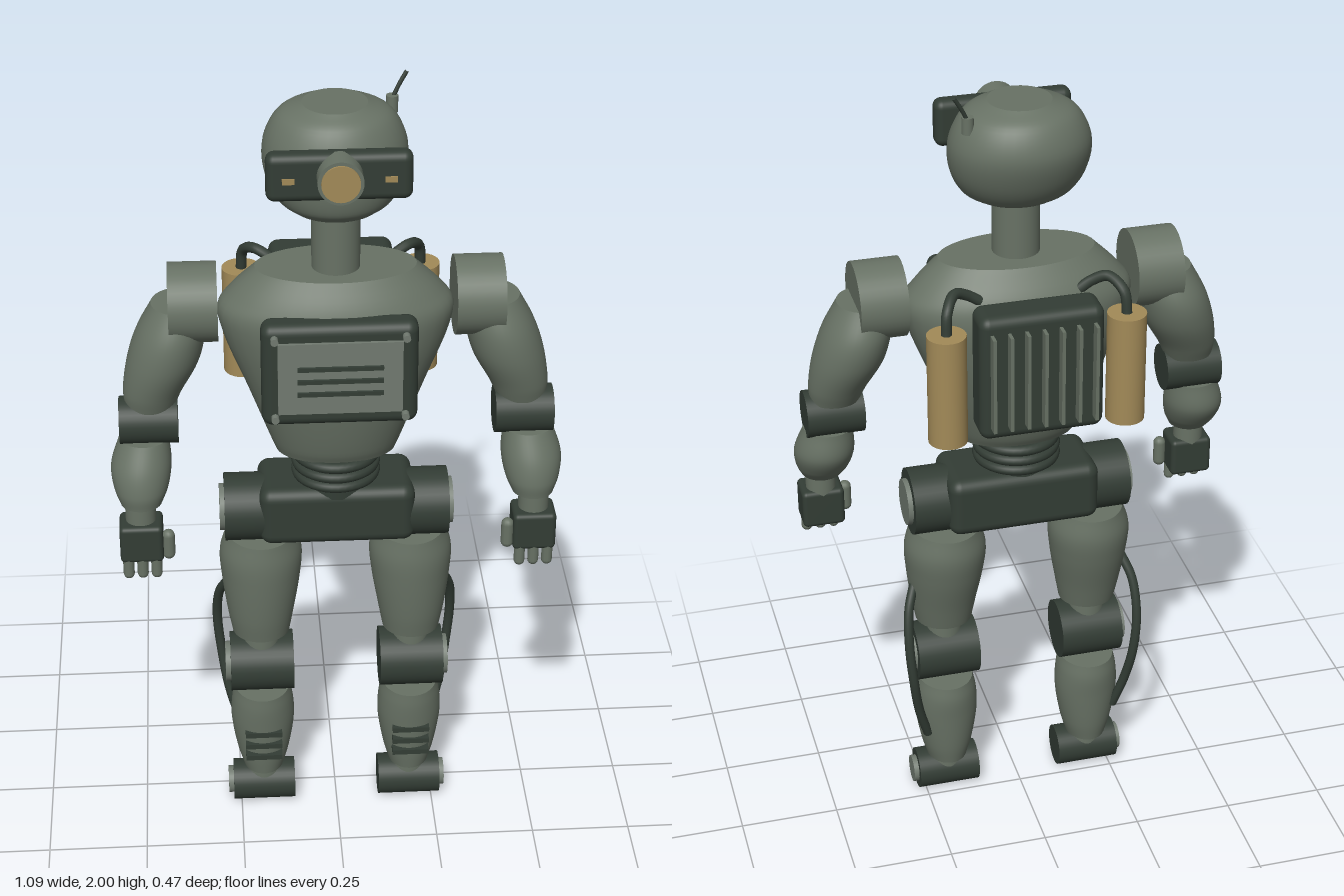
import * as THREE from 'three';
import { RoundedBoxGeometry } from 'three/addons/geometries/RoundedBoxGeometry.js';

const paint = (name, color) => Object.assign(new THREE.MeshStandardMaterial({ color }), { name });

export function createModel() {
  const body = paint('grey green', 0x687265);
  const dark = paint('dark green', 0x333d35);
  const brass = paint('brass', 0xa28a58);
  const steel = paint('pale grey', 0x717a70);
  const robot = new THREE.Group();
  robot.name = 'robot';

  const add = (name, geometry, material, x = 0, y = 0, z = 0, parent = robot) => {
    const mesh = new THREE.Mesh(geometry, material);
    mesh.name = name;
    mesh.position.set(x, y, z);
    parent.add(mesh);
    return mesh;
  };
  const box = (name, mat, w, h, d, x, y, z, r = 0) => add(name,
    r ? new RoundedBoxGeometry(w, h, d, 4, r) : new THREE.BoxGeometry(w, h, d), mat, x, y, z);
  const cyl = (name, mat, r, length, x, y, z, axis = 'y') => {
    const g = new THREE.CylinderGeometry(r, r, length, 36);
    if (axis === 'x') g.rotateZ(Math.PI / 2);
    if (axis === 'z') g.rotateX(Math.PI / 2);
    return add(name, g, mat, x, y, z);
  };
  const hose = (name, mat, r, points) => add(name, new THREE.TubeGeometry(
    new THREE.CatmullRomCurve3(points.map(p => new THREE.Vector3(...p))), 32, r, 10), mat);

  // Smooth limb through elliptical rings [y, rx, rz, cx, cz], lowest first, with flat ends
  const loft = (name, mat, rings, side = 1) => {
    const rows = 28, n = 40, pos = [], index = [];
    const size = new THREE.CatmullRomCurve3(rings.map(r => new THREE.Vector3(r[1], r[0], r[2])), false, 'centripetal');
    const mid = new THREE.CatmullRomCurve3(rings.map(r => new THREE.Vector3(r[3], r[0], r[4])), false, 'centripetal');
    for (let i = 0; i <= rows; i++) {
      const s = size.getPoint(i / rows), c = mid.getPoint(i / rows);
      for (let j = 0; j < n; j++) {
        const a = j / n * Math.PI * 2;
        pos.push(side * c.x + s.x * Math.cos(a), s.y, c.z + s.z * Math.sin(a));
        if (i < rows) {
          const p = i * n + j, q = i * n + (j + 1) % n;
          index.push(p, p + n, q, q, p + n, q + n);
        }
      }
    }
    const g = new THREE.BufferGeometry();
    g.setAttribute('position', new THREE.Float32BufferAttribute(pos, 3));
    g.setIndex(index);
    g.computeVertexNormals();
    const mesh = add(name, g, mat);
    [[rings[0], 1], [rings[rings.length - 1], -1]].forEach(([r, dir]) => {
      const cap = new THREE.CircleGeometry(1, n).rotateX(dir * Math.PI / 2).scale(r[1], 1, r[2]);
      add(name + ' end', cap, mat, side * r[3], r[0], r[4], mesh);
    });
    return mesh;
  };

  // Head, neck and torso
  loft('head', body, [
    [1.71, 0.1, 0.09, 0, 0.035], [1.735, 0.135, 0.118, 0, 0.028], [1.79, 0.162, 0.14, 0, 0.016],
    [1.86, 0.166, 0.146, 0, 0.004], [1.925, 0.135, 0.12, 0, 0.002], [1.955, 0.075, 0.075, 0, 0.005]]);
  cyl('neck', body, 0.057, 0.2, 0, 1.63, 0.04);
  loft('torso', body, [
    [1.07, 0.145, 0.09, 0, 0.04], [1.1, 0.157, 0.105, 0, 0.038], [1.25, 0.213, 0.143, 0, 0.032],
    [1.4, 0.27, 0.158, 0, 0.03], [1.46, 0.278, 0.155, 0, 0.03], [1.5, 0.25, 0.142, 0, 0.03],
    [1.56, 0.19, 0.1, 0, 0.035]]);

  // Visor with lens and indicator lamps
  box('visor', dark, 0.33, 0.115, 0.05, 0, 1.848, 0.163, 0.02);
  cyl('lens housing', body, 0.052, 0.06, 0, 1.855, 0.198, 'z');
  cyl('lens', brass, 0.044, 0.006, 0, 1.855, 0.23, 'z');
  for (const s of [-1, 1]) box('visor lamp', brass, 0.028, 0.014, 0.006, s * 0.115, 1.845, 0.188);

  // Antenna
  cyl('antenna base', body, 0.014, 0.04, 0.134, 1.925, -0.045);
  hose('antenna', dark, 0.005, [[0.134, 1.935, -0.046], [0.15, 1.968, -0.052], [0.168, 1.998, -0.058]]);

  // Chest panel
  box('chest frame', dark, 0.365, 0.265, 0.07, 0, 1.358, 0.18, 0.025);
  box('chest plate', steel, 0.29, 0.185, 0.01, 0, 1.358, 0.218);
  for (let i = -1; i <= 1; i++) box('chest slot', dark, 0.2, 0.01, 0.008, 0, 1.353 + i * 0.033, 0.226);
  for (const s of [-1, 1]) for (const y of [1.255, 1.462])
    cyl('chest bolt', steel, 0.009, 0.02, s * 0.152, y, 0.222, 'z');

  // Back pack with cooling fins
  box('back pack', dark, 0.3, 0.32, 0.1, 0, 1.352, -0.162, 0.025);
  for (let i = -3; i <= 3; i++) box('cooling fin', body, 0.008, 0.245, 0.035, i * 0.041, 1.352, -0.222);

  // Waist bellows and pelvis
  cyl('waist core', dark, 0.09, 0.13, 0, 1.03, 0.04);
  for (let i = 0; i < 3; i++)
    add('waist ring', new THREE.TorusGeometry(0.095, 0.014, 10, 40).rotateX(Math.PI / 2), dark, 0, 1.005 + i * 0.027, 0.04);
  box('pelvis', dark, 0.38, 0.155, 0.19, 0, 0.91, 0.035, 0.03);

  for (const s of [-1, 1]) {
    // Air tank and hose
    cyl('air tank', brass, 0.047, 0.28, s * 0.217, 1.32, -0.155);
    hose('tank hose', dark, 0.013, [[s * 0.217, 1.455, -0.155], [s * 0.212, 1.51, -0.145],
      [s * 0.185, 1.535, -0.105], [s * 0.15, 1.52, -0.088], [s * 0.12, 1.5, -0.085]]);

    // Arm
    cyl('shoulder', body, 0.095, 0.115, s * 0.336, 1.473, 0.04, 'x');
    loft('upper arm', body, [
      [1.21, 0.06, 0.052, 0.445, 0.058], [1.25, 0.07, 0.068, 0.438, 0.054], [1.33, 0.086, 0.094, 0.41, 0.045],
      [1.4, 0.083, 0.097, 0.39, 0.04], [1.475, 0.066, 0.07, 0.368, 0.04]], s);
    cyl('elbow', dark, 0.058, 0.14, s * 0.45, 1.172, 0.065, 'x');
    loft('forearm', body, [
      [0.975, 0.05, 0.05, 0.475, 0.12], [1.01, 0.065, 0.068, 0.474, 0.105], [1.06, 0.073, 0.077, 0.472, 0.085],
      [1.13, 0.06, 0.058, 0.463, 0.07]], s);
    cyl('wrist', body, 0.037, 0.08, s * 0.478, 0.95, 0.125);
    box('hand', dark, 0.105, 0.1, 0.088, s * 0.478, 0.88, 0.132, 0.012);
    for (let i = -1; i <= 1; i++)
      add('finger', new THREE.CapsuleGeometry(0.0135, 0.045, 6, 12), body, s * (0.478 + i * 0.034), 0.818, 0.162);
    add('thumb', new THREE.CapsuleGeometry(0.0155, 0.05, 6, 12), body, s * 0.413, 0.872, 0.155);

    // Hip, thigh and knee
    cyl('hip joint', dark, 0.084, 0.12, s * 0.215, 0.9, 0.04, 'x');
    cyl('hip cap', steel, 0.058, 0.02, s * 0.277, 0.9, 0.04, 'x');
    loft('thigh', body, [
      [0.54, 0.072, 0.07, 0.19, 0.05], [0.6, 0.083, 0.083, 0.19, 0.047], [0.7, 0.098, 0.102, 0.188, 0.037],
      [0.77, 0.102, 0.109, 0.187, 0.032], [0.83, 0.085, 0.102, 0.186, 0.032]], s);
    cyl('knee neck', body, 0.046, 0.1, s * 0.19, 0.53, 0.05);
    cyl('knee', dark, 0.076, 0.16, s * 0.19, 0.437, 0.052, 'x');
    cyl('knee cap', steel, 0.051, 0.02, s * 0.273, 0.437, 0.052, 'x');

    // Shin with vent bars, and foot roller
    loft('shin', body, [
      [0.11, 0.052, 0.065, 0.19, 0.045], [0.16, 0.066, 0.073, 0.19, 0.044], [0.26, 0.081, 0.082, 0.19, 0.044],
      [0.32, 0.078, 0.086, 0.19, 0.044], [0.36, 0.07, 0.083, 0.19, 0.046]], s);
    for (let i = 0; i < 3; i++) box('shin vent', dark, 0.094, 0.014, 0.03, s * 0.19, 0.177 + i * 0.036, 0.113);
    cyl('ankle', body, 0.045, 0.06, s * 0.19, 0.09, 0.052);
    cyl('foot roller', dark, 0.053, 0.16, s * 0.19, 0.053, 0.055, 'x');
    cyl('foot cap', steel, 0.035, 0.02, s * 0.273, 0.053, 0.055, 'x');

    // Leg hose
    hose('leg hose', dark, 0.012, [[s * 0.272, 0.665, 0.02], [s * 0.293, 0.61, -0.012], [s * 0.3, 0.52, -0.04],
      [s * 0.292, 0.41, -0.046], [s * 0.275, 0.3, -0.025], [s * 0.25, 0.21, -0.005]]);
  }
  return robot;
}
